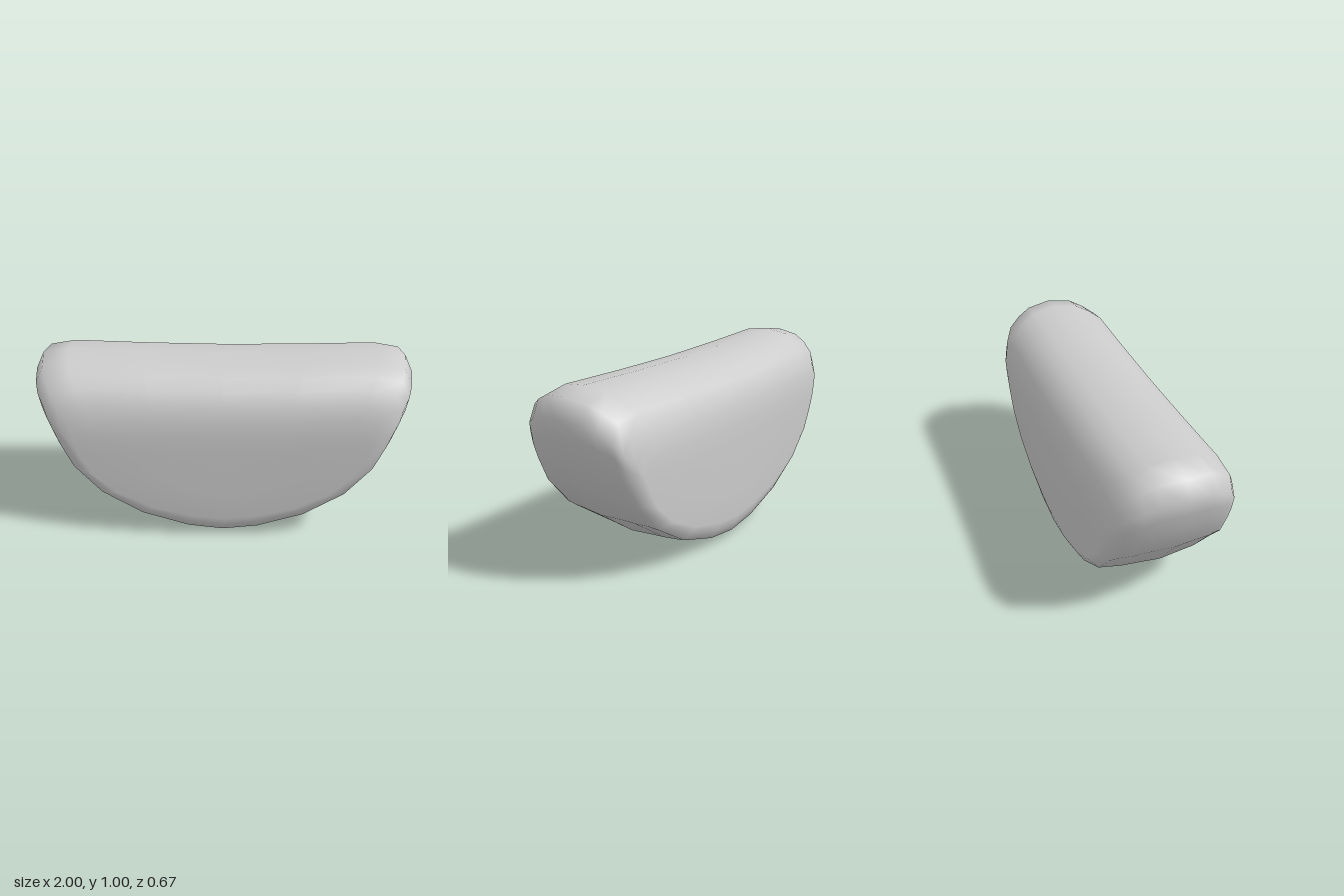
import * as THREE from 'three';

// Right half of the half-disc outline, bottom centre to top centre (unit width and height)
const half = [[0, 0], [0.215, 0.03], [0.495, 0.135], [0.735, 0.31], [0.89, 0.52], [0.955, 0.69],
  [0.985, 0.79], [1, 0.88], [0.955, 0.975], [0.82, 1], [0.42, 0.988], [0, 0.982]];
const outline = [...half, ...half.slice(1, -1).reverse().map(([x, y]) => [-x, y])];

// Layers from the middle to the face: depth z, half width, bottom y, top y
const layers = [[0, 1, 0, 1], [0.13, 0.982, 0.013, 0.982], [0.2, 0.962, 0.02, 0.945],
  [0.265, 0.925, 0.027, 0.9], [0.3, 0.89, 0.035, 0.83], [0.325, 0.835, 0.085, 0.765],
  [0.334, 0.77, 0.13, 0.67], [0.336, 0.4, 0.28, 0.58]];

function createBody() {
  const stack = [...layers.slice(1).reverse().map(([z, ...r]) => [-z, ...r]), ...layers];
  const n = outline.length;
  const positions = [];
  const index = [];
  for (const [z, w, bottom, top] of stack) {
    for (const [x, y] of outline) positions.push(x * w, bottom + (top - bottom) * y, z);
  }
  // skin between neighbouring layers
  for (let i = 0; i < stack.length - 1; i++) {
    for (let j = 0; j < n; j++) {
      const k = (j + 1) % n;
      const a = i * n + j, b = i * n + k, c = a + n, d = b + n;
      index.push(a, b, d, a, d, c);
    }
  }
  // flat front and back centres
  const last = (stack.length - 1) * n;
  const back = positions.length / 3;
  positions.push(0, 0.45, -0.336, 0, 0.45, 0.336);
  for (let j = 0; j < n; j++) {
    const k = (j + 1) % n;
    index.push(back, k, j, back + 1, last + j, last + k);
  }
  const geometry = new THREE.BufferGeometry();
  geometry.setAttribute('position', new THREE.Float32BufferAttribute(positions, 3));
  geometry.setIndex(index);
  geometry.computeVertexNormals();
  return geometry;
}

export function createModel() {
  const group = new THREE.Group();
  const body = new THREE.Mesh(createBody(), new THREE.MeshStandardMaterial({ color: 0xcccccc }));
  body.name = 'roundedHalfDisc';
  group.add(body);
  return group;
}
